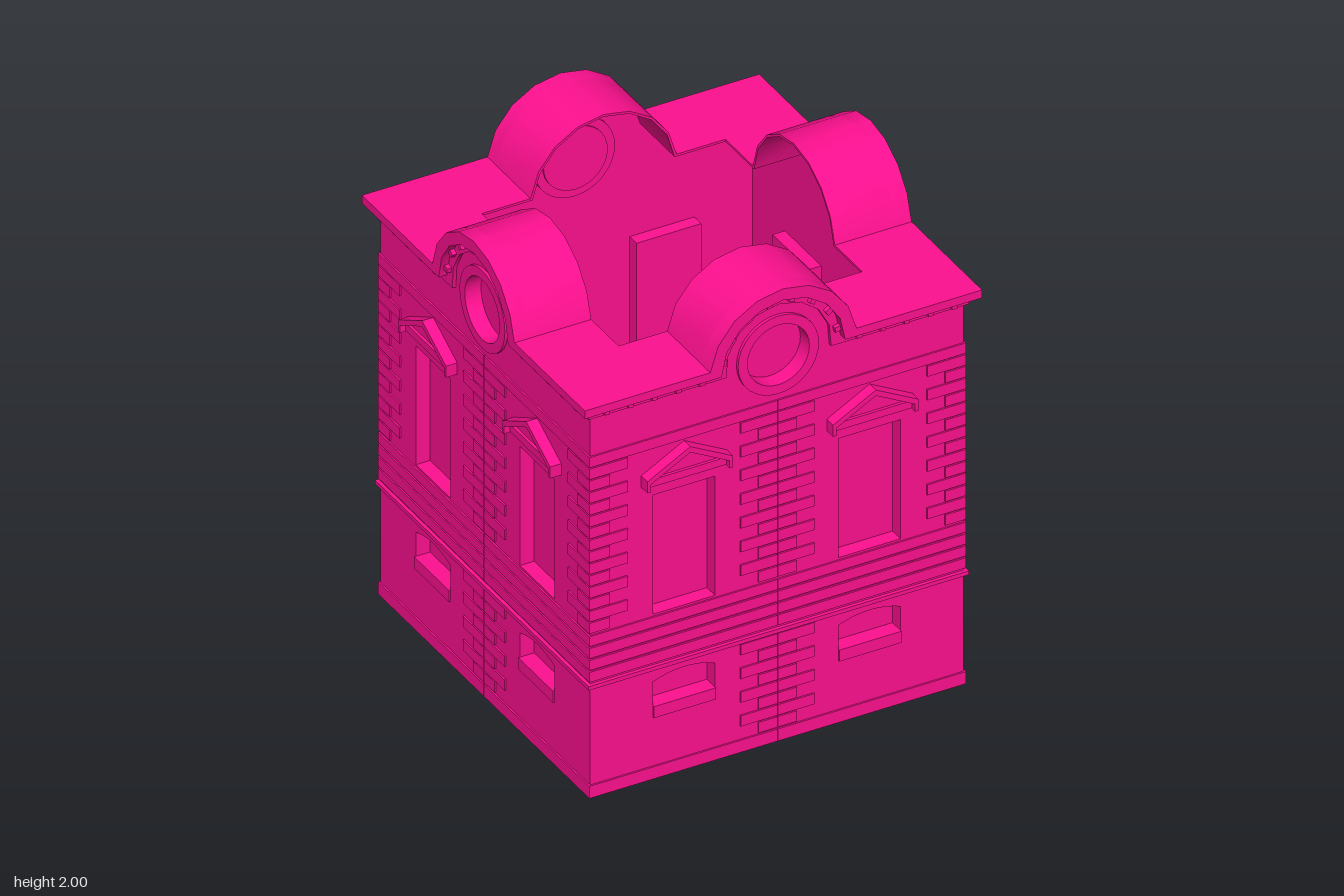
import * as THREE from 'three';
import { toCreasedNormals } from 'three/addons/utils/BufferGeometryUtils.js';

const ARCH_Y = 1.69;   // centre of the arch and of the round window
const WALL_Z = 0.785;  // outer face of the wall

export function createModel() {
  const material = new THREE.MeshStandardMaterial({ color: 0xff1090, side: THREE.DoubleSide });
  const side = new THREE.Group();
  side.name = 'facade';

  const add = (name, geometry) => {
    const mesh = new THREE.Mesh(geometry, material);
    mesh.name = name;
    side.add(mesh);
    return mesh;
  };

  // Cut the outer ends at 45 degrees so neighbouring facades meet at the corner
  const mitre = (geometry) => {
    const p = geometry.attributes.position;
    for (let i = 0; i < p.count; i++) {
      if (Math.abs(p.getX(i)) > 0.75) p.setX(i, Math.sign(p.getX(i)) * p.getZ(i));
    }
    geometry.computeVertexNormals();
    return geometry;
  };

  // Extrude a shape between two depths
  const slab = (shape, z0, z1) => {
    const g = new THREE.ExtrudeGeometry(shape, { depth: z1 - z0, bevelEnabled: false, curveSegments: 16 });
    g.translate(0, 0, z0);
    return g;
  };

  const box = (name, x0, x1, y0, y1, z0, z1) => {
    const g = new THREE.BoxGeometry(x1 - x0, y1 - y0, z1 - z0);
    g.translate((x0 + x1) / 2, (y0 + y1) / 2, (z0 + z1) / 2);
    return add(name, mitre(g.toNonIndexed()));
  };

  // The same box on both halves of the facade
  const boxPair = (name, x0, x1, y0, y1, z0, z1) => {
    box(name, x0, x1, y0, y1, z0, z1);
    box(name, -x1, -x0, y0, y1, z0, z1);
  };

  const polygon = (points) => new THREE.Shape(points.map(([x, y]) => new THREE.Vector2(x, y)));
  const disc = (r, hole) => {
    const s = new THREE.Shape().absarc(0, ARCH_Y, r, 0, Math.PI * 2);
    if (hole) s.holes.push(new THREE.Path().absarc(0, ARCH_Y, hole, 0, Math.PI * 2));
    return s;
  };

  // Line from left to right that rises over the arch
  const archLine = (half, y, r, n = 8) => {
    const a = Math.asin((y - ARCH_Y) / r);
    const pts = [[-half, y]];
    for (let i = 0; i <= n; i++) {
      const t = Math.PI - a - (i / n) * (Math.PI - 2 * a);
      pts.push([r * Math.cos(t), ARCH_Y + r * Math.sin(t)]);
    }
    pts.push([half, y]);
    return pts;
  };
  const archBand = (name, yTop, rTop, yLow, rLow, z0, z1) => {
    const shape = polygon([...archLine(0.8, yTop, rTop), ...archLine(0.8, yLow, rLow).reverse()]);
    return add(name, toCreasedNormals(mitre(slab(shape, z0, z1)), 0.6));
  };

  // Window outlines, centred on x and optionally enlarged
  const upperOutline = (x, e = 0) => [
    [x - 0.13 - e, 0.715 - e], [x + 0.13 + e, 0.715 - e],
    [x + 0.13 + e, 1.235 + e], [x - 0.13 - e, 1.235 + e]];
  const lowerOutline = (x, e = 0) => {
    const pts = [[x - 0.13 - e, 0.265 - e], [x + 0.13 + e, 0.265 - e]];
    for (let i = 0; i <= 8; i++) {
      const t = 1 - i / 4;
      pts.push([x + t * (0.13 + e), 0.42 + e + 0.025 * (1 - t * t)]);
    }
    return pts;
  };

  // Wall with openings
  const wall = polygon([[-0.78, 0], [0.78, 0], ...archLine(0.78, 1.7, 0.27).reverse()]);
  for (const x of [-0.39, 0.39]) {
    wall.holes.push(polygon(upperOutline(x)), polygon(lowerOutline(x)));
  }
  wall.holes.push(new THREE.Path().absarc(0, ARCH_Y, 0.13, 0, Math.PI * 2));
  add('wall', mitre(slab(wall, WALL_Z - 0.015, WALL_Z)));

  // Recessed windows with pediments above and sills below
  for (const x of [-0.39, 0.39]) {
    for (const [name, outline] of [['upperWindow', upperOutline], ['lowerWindow', lowerOutline]]) {
      const reveal = polygon(outline(x, 0.006));
      reveal.holes.push(polygon(outline(x)));
      add(name + 'Reveal', slab(reveal, 0.725, WALL_Z - 0.001));
      add(name + 'Pane', slab(polygon(outline(x, 0.006)), 0.718, 0.725));
    }
    box('lowerWindowSill', x - 0.13, x + 0.13, 0.265, 0.315, 0.725, 0.792);

    const gable = polygon([
      [-0.18, 1.285], [-0.18, 1.335], [0, 1.432], [0.18, 1.335], [0.18, 1.285],
      [0.165, 1.285], [0.165, 1.318], [0, 1.407], [-0.165, 1.318], [-0.165, 1.285]]);
    add('pedimentGable', slab(gable, 0.78, 0.832).translate(x, 0, 0));
    const tympanum = polygon([[-0.165, 1.318], [0.165, 1.318], [0, 1.408]]);
    add('pedimentPanel', slab(tympanum, 0.78, 0.796).translate(x, 0, 0));
    box('pedimentLedge', x - 0.166, x + 0.166, 1.288, 1.32, 0.78, 0.808);
  }

  // Round window
  add('roundWindowRing', toCreasedNormals(slab(disc(0.17, 0.13), 0.73, 0.798), 0.6));
  add('roundWindowPane', slab(disc(0.135), 0.722, 0.73));

  // Plinth, string course, banded stonework and frieze belt
  const out = 0.792, back = 0.775, seam = 0.002;
  boxPair('plinth', seam, 0.78, 0, 0.053, back, out);
  box('stringCourse', -0.78, 0.78, 0.478, 0.495, back, 0.8);
  for (let i = 0; i < 4; i++) {
    boxPair('stoneBand', seam, 0.78, 0.506 + i * 0.052, 0.55 + i * 0.052, back, out);
  }
  boxPair('friezeBelt', seam, 0.78, 1.443, 1.488, back, out);

  // Alternating long and short quoins
  const quoins = (y, rows, corners) => {
    for (let i = 0; i < rows; i++) {
      const y0 = y + i * 0.0518 + 0.003, y1 = y0 + 0.046;
      boxPair('centreQuoin', seam, i % 2 ? 0.155 : 0.08, y0, y1, back, out);
      if (corners) boxPair('cornerQuoin', i % 2 ? 0.63 : 0.705, 0.78, y0, y1, back, out);
    }
  };
  quoins(0.058, 8, false);
  quoins(0.715, 14, true);

  // Arched cornice, its mouldings and the thin roof behind it
  archBand('corniceFascia', 1.73, 0.31, 1.695, 0.26, 0.77, 0.835);
  archBand('corniceMoulding', 1.7, 0.265, 1.66, 0.222, 0.77, 0.8)
    .name = 'corniceMoulding';
  archBand('roof', 1.73, 0.31, 1.72, 0.3, 0.512, 0.772);

  // Dentils along the cornice and round the arch
  for (let x = 0.33; x < 0.75; x += 0.1) {
    boxPair('dentil', x - 0.011, x + 0.011, 1.67, 1.697, 0.79, 0.818);
  }
  for (let i = 0; i < 8; i++) {
    const a = ((i + 0.5) / 8) * Math.PI;
    const dentil = add('archDentil', new THREE.BoxGeometry(0.03, 0.022, 0.028));
    dentil.position.set(0.247 * Math.cos(a), ARCH_Y + 0.247 * Math.sin(a), 0.804);
    dentil.rotation.z = a;
  }

  // Four equal facades
  const model = new THREE.Group();
  model.name = 'building';
  ['front', 'left', 'back', 'right'].forEach((name, i) => {
    const facade = side.clone();
    facade.name = name + 'Facade';
    facade.rotation.y = (i * Math.PI) / 2;
    model.add(facade);
  });
  return model;
}
